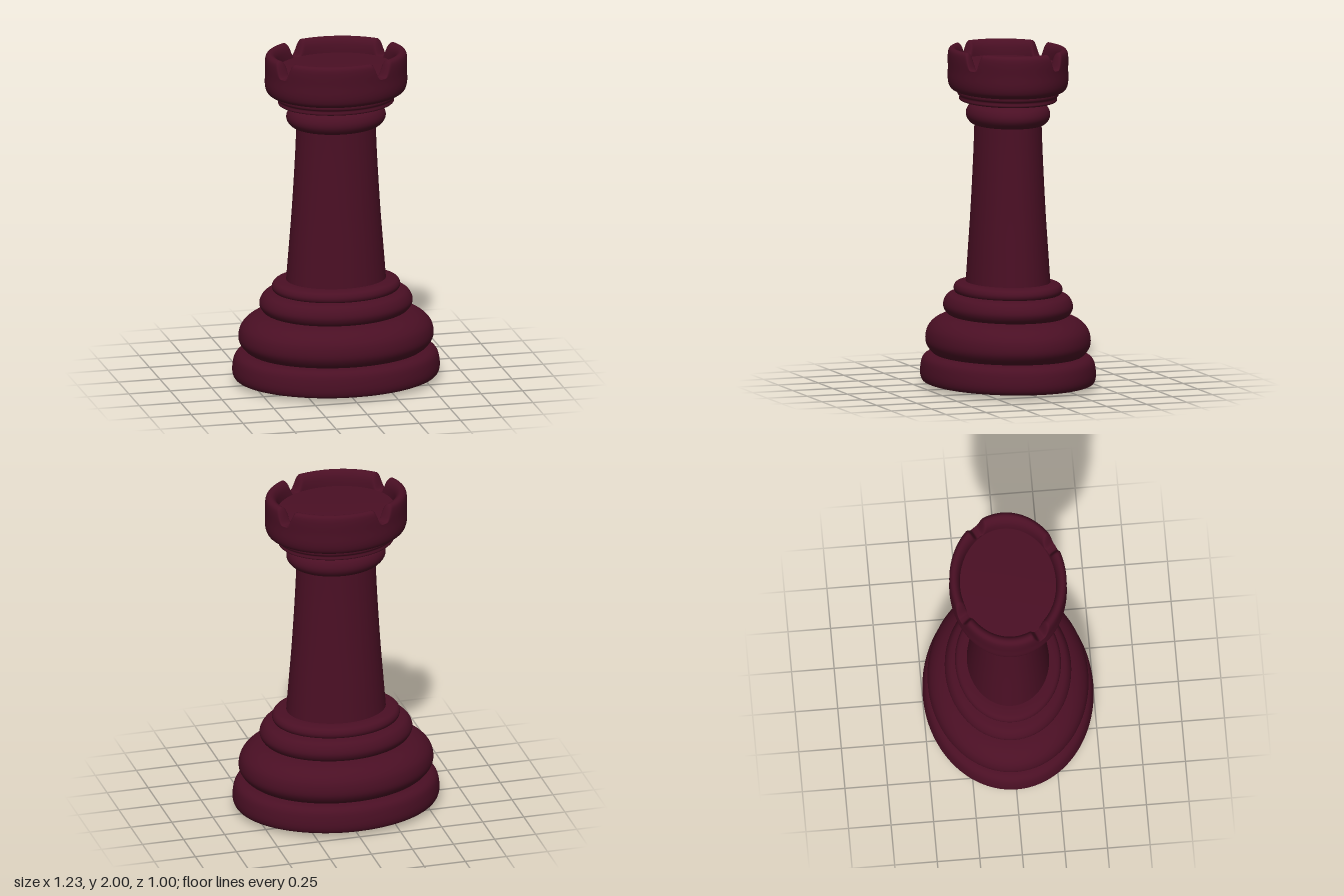
import * as THREE from 'three';
import { mergeVertices } from 'three/addons/utils/BufferGeometryUtils.js';

const OVAL = 0.815; // depth of the oval plan relative to its width
const FLOOR = 1.91; // height of the floor inside the crown
const material = new THREE.MeshStandardMaterial({ color: 0x4a0f24 });

// Turn a profile of [radius, y] points; rounded profiles pass through a spline.
function turned(profile, samples = 0, segments = 128) {
  let points = profile.map(([r, y]) => new THREE.Vector2(r, y));
  if (samples) {
    const curve = new THREE.CatmullRomCurve3(
      points.map(p => new THREE.Vector3(p.x, p.y, 0)), false, 'centripetal');
    points = curve.getPoints(samples).map(p => new THREE.Vector2(Math.max(p.x, 0), p.y));
  }
  return new THREE.LatheGeometry(points, segments);
}

// Lower the rim at four evenly spaced notches with sloping sides.
function cutNotches(source) {
  source.deleteAttribute('uv');
  source.deleteAttribute('normal');
  const geometry = mergeVertices(source, 1e-5);
  const pos = geometry.attributes.position;
  const base = 1.895, quarter = Math.PI / 2, centre = THREE.MathUtils.degToRad(60);
  for (let i = 0; i < pos.count; i++) {
    const y = pos.getY(i);
    if (y <= base) continue;
    const a = Math.atan2(pos.getZ(i), pos.getX(i)) - centre;
    const offset = Math.abs(a - Math.round(a / quarter) * quarter) * 0.39;
    const keep = 0.08 + 0.92 * THREE.MathUtils.smoothstep(offset, 0.018, 0.068);
    pos.setY(i, base + (y - base) * keep);
  }
  geometry.computeVertexNormals();
  return geometry;
}

export function createModel() {
  const group = new THREE.Group();
  const add = (name, geometry) => {
    const mesh = new THREE.Mesh(geometry, material);
    mesh.name = name;
    mesh.scale.z = OVAL;
    group.add(mesh);
  };

  // Stepped foot
  add('underside', turned([[0, 0], [0.3, 0.006], [0.5, 0.016], [0.57, 0.022]], 8));
  add('footRing', turned([[0.57, 0.022], [0.598, 0.032], [0.612, 0.06], [0.612, 0.11],
    [0.598, 0.16], [0.57, 0.184], [0.51, 0.195]], 28));
  add('lowerBulge', turned([[0.51, 0.185], [0.545, 0.21], [0.573, 0.25], [0.577, 0.29],
    [0.562, 0.34], [0.52, 0.383], [0.46, 0.41], [0.39, 0.422]], 28));
  add('upperBulge', turned([[0.39, 0.415], [0.43, 0.432], [0.453, 0.47], [0.447, 0.505],
    [0.42, 0.538], [0.35, 0.556]], 24));
  add('shaftSeat', turned([[0.35, 0.548], [0.372, 0.557], [0.38, 0.58], [0.367, 0.605],
    [0.33, 0.617], [0.28, 0.621]], 20));

  // Tapering shaft
  add('shaft', turned([[0.296, 0.61], [0.281, 0.8], [0.265, 1.0], [0.252, 1.2],
    [0.241, 1.4], [0.234, 1.57]], 16));

  // Neck mouldings
  add('collar', turned([[0.225, 1.545], [0.262, 1.558], [0.29, 1.59], [0.294, 1.62],
    [0.278, 1.652], [0.245, 1.672], [0.22, 1.68]], 24));
  add('neck', turned([[0.23, 1.66], [0.245, 1.69]]));
  add('neckRing', turned([[0.235, 1.682], [0.32, 1.686], [0.342, 1.695], [0.34, 1.715],
    [0.353, 1.727], [0.354, 1.745], [0.34, 1.755]], 24));

  // Notched crown with a recessed floor
  const crown = turned([[0.33, 1.738], [0.37, 1.745], [0.405, 1.765], [0.42, 1.805],
    [0.42, 1.88], [0.42, 1.96], [0.412, 1.988], [0.393, 2], [0.372, 1.993],
    [0.355, 1.97], [0.347, 1.935], [0.345, 1.885]], 44, 288);
  add('crown', cutNotches(crown));
  add('crownFloor', turned([[0.352, FLOOR - 0.01], [0.34, FLOOR], [0, FLOOR]]));

  return group;
}
